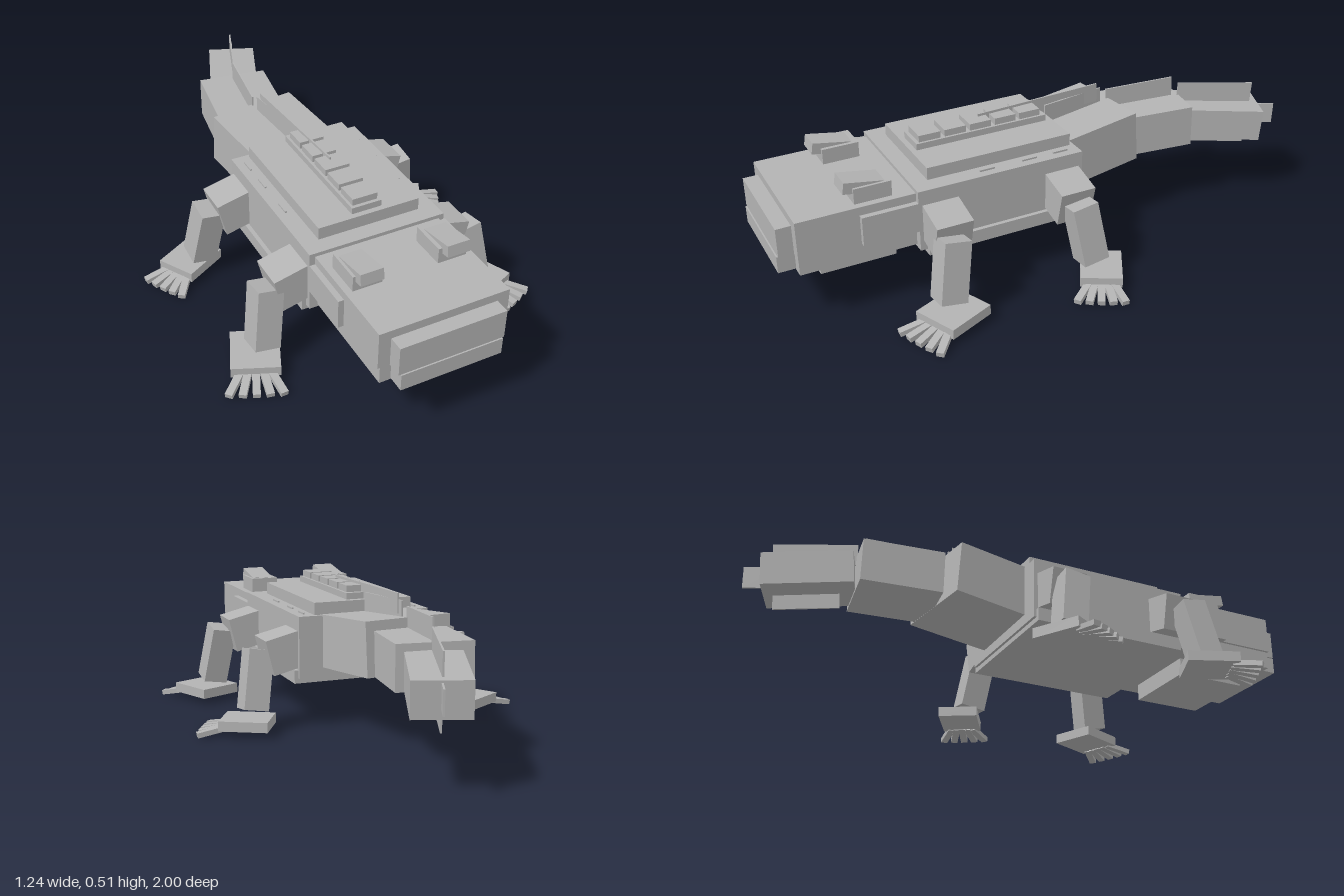
import * as THREE from 'three';

export function createModel() {
  const root = new THREE.Group();
  root.name = 'salamander';
  const skin = new THREE.MeshStandardMaterial({ color: 0xb3b3b3 });
  skin.name = 'grey skin';

  function box(name, size, pos, rot = [0, 0, 0], order = 'XYZ') {
    const m = new THREE.Mesh(new THREE.BoxGeometry(...size), skin);
    m.name = name;
    m.position.set(...pos);
    m.rotation.set(...rot, order);
    root.add(m);
    return m;
  }
  // box given by half width and its y and z ranges
  const slab = (name, hx, y0, y1, z0, z1) =>
    box(name, [hx * 2, y1 - y0, z1 - z0], [0, (y0 + y1) / 2, (z0 + z1) / 2]);
  // left and right copies
  function pair(name, size, [x, y, z], [rx, ry, rz] = [0, 0, 0], order) {
    for (const s of [1, -1]) box(name, size, [x * s, y, z], [rx, ry * s, rz * s], order);
  }
  // box stretched between two points
  function span(name, a, b, w, h) {
    const p = new THREE.Vector3(...a), q = new THREE.Vector3(...b);
    const m = box(name, [w, h, p.distanceTo(q)], p.clone().lerp(q, 0.5).toArray());
    m.lookAt(q);
    return m;
  }

  // trunk
  slab('body', 0.25, 0.19, 0.413, -0.08, 0.535);
  slab('belly', 0.265, 0.172, 0.22, -0.07, 0.51);
  slab('backPlate', 0.187, 0.41, 0.457, -0.065, 0.475);
  slab('spineBase', 0.055, 0.455, 0.48, -0.04, 0.455);
  for (let i = 0; i < 5; i++) {
    const z = 0.02 + i * 0.0955;
    slab('spineBump', 0.046, 0.478, 0.504, z - 0.04, z + 0.04);
  }
  for (const z of [-0.01, 0.11, 0.27])
    pair('sideMark', [0.006, 0.008, 0.055], [0.217, 0.415, z]);

  // head
  slab('head', 0.23, 0.265, 0.40, 0.5, 0.943);
  slab('lowerJaw', 0.22, 0.2, 0.275, 0.5, 0.94);
  slab('snout', 0.188, 0.265, 0.37, 0.93, 0.995);
  slab('chin', 0.181, 0.205, 0.265, 0.93, 1.0);
  slab('throat', 0.15, 0.137, 0.21, 0.585, 0.853);
  slab('cheeks', 0.25, 0.265, 0.37, 0.53, 0.73);
  pair('eyeSocket', [0.105, 0.06, 0.13], [0.153, 0.425, 0.672]);
  pair('eye', [0.082, 0.04, 0.14], [0.155, 0.448, 0.698], [-0.17, 0, 0]);

  // tail
  span('tailBase', [0.0, 0.317, -0.02], [-0.043, 0.343, -0.365], 0.335, 0.19);
  span('tailMiddle', [-0.042, 0.326, -0.365], [0, 0.332, -0.648], 0.262, 0.155);
  span('tailEnd', [0.006, 0.325, -0.645], [0.12, 0.302, -0.935], 0.187, 0.12);

  // tail fins
  span('backFin', [0.0, 0.478, 0.2], [-0.03, 0.478, -0.3], 0.006, 0.07);
  span('tailFin', [-0.005, 0.45, -0.07], [-0.036, 0.455, -0.32], 0.006, 0.07);
  span('tailFin', [-0.042, 0.437, -0.35], [-0.005, 0.446, -0.62], 0.006, 0.075);
  span('tailFin', [0.007, 0.418, -0.64], [0.108, 0.402, -0.915], 0.006, 0.08);
  span('lowerTailFin', [0.022, 0.235, -0.69], [0.105, 0.22, -0.90], 0.006, 0.055);
  span('tailTip', [0.095, 0.315, -0.875], [0.148, 0.312, -1.0], 0.006, 0.08);

  // legs: z of hip, shin lean, foot centre, foot yaw, foot size, toe fan
  const legs = [
    { end: 'front', hip: 0.457, shin: 0.49, lean: -0.17, foot: [0.435, 0.505], yaw: 0.4, size: [0.165, 0.18] },
    { end: 'rear', hip: 0.0, shin: -0.015, lean: 0.15, foot: [0.438, -0.055], yaw: 1.05, size: [0.145, 0.175] },
  ];
  for (const { end, hip, shin, lean, foot, yaw, size } of legs) {
    pair(end + 'UpperLeg', [0.2, 0.13, 0.13], [0.256, 0.292, hip], [0, 0, -0.24]);
    pair(end + 'LowerLeg', [0.09, 0.215, 0.095], [0.393, 0.188, shin], [lean, 0, 0.155]);
    pair(end + 'Foot', [size[0], 0.036, size[1]], [foot[0], 0.047, foot[1]], [0, yaw, 0]);
    // five toes fanned along the front edge of the foot
    for (let i = -2; i <= 2; i++) {
      const across = i * size[0] * 0.21, along = size[1] / 2 + 0.028;
      const x = foot[0] + Math.sin(yaw) * along + Math.cos(yaw) * across;
      const z = foot[1] + Math.cos(yaw) * along - Math.sin(yaw) * across;
      pair(end + 'Toe', [0.026, 0.018, 0.1], [x, 0.025, z], [0.18, yaw + i * 0.22, 0], 'YXZ');
    }
  }

  // rest on the ground
  const bounds = new THREE.Box3().setFromObject(root, true);
  for (const part of root.children) part.position.y -= bounds.min.y;
  return root;
}
